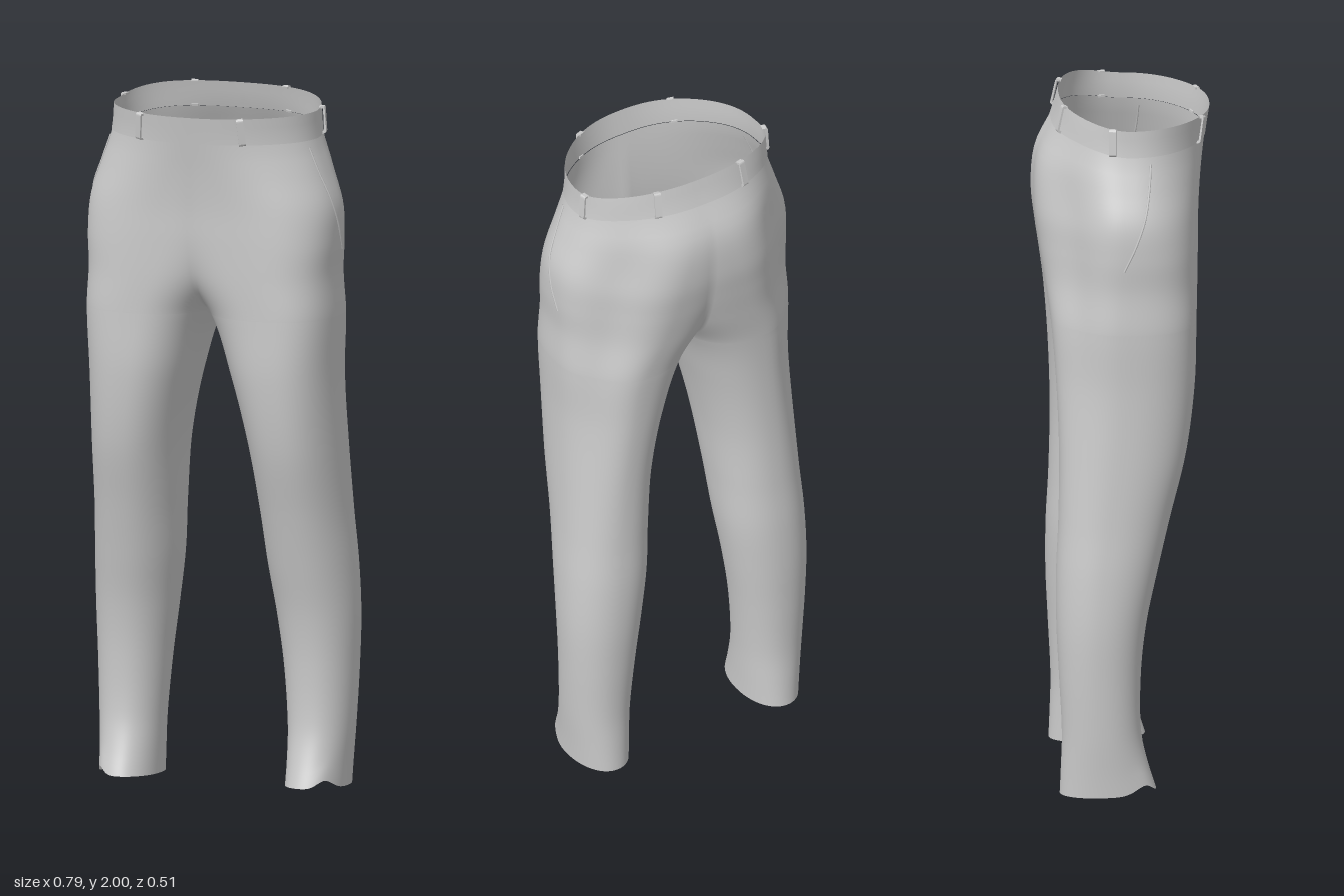
import * as THREE from 'three';
import { mergeVertices } from 'three/addons/utils/BufferGeometryUtils.js';

const { smoothstep, clamp } = THREE.MathUtils;
const CROTCH = 1.38;
const BAND = 1.89;

// Stations of one half: y, outer x, inner x, front z, back z, z of widest point, roundness power.
// Above the crotch the inner x passes the middle plane, so each section is cut at x = 0.
const STATIONS = [
  [0.0, 0.372, 0.2, 0.086, -0.19, -0.05, 2.1],
  [0.07, 0.376, 0.199, 0.066, -0.187, -0.06, 2.1],
  [0.18, 0.384, 0.195, 0.043, -0.184, -0.07, 2.1],
  [0.35, 0.392, 0.18, 0.042, -0.192, -0.08, 2.1],
  [0.5, 0.396, 0.16, 0.058, -0.199, -0.08, 2.1],
  [0.65, 0.391, 0.14, 0.09, -0.199, -0.07, 2.15],
  [0.8, 0.381, 0.129, 0.125, -0.192, -0.05, 2.2],
  [1.0, 0.374, 0.108, 0.174, -0.189, -0.02, 2.25],
  [1.2, 0.371, 0.063, 0.2, -0.196, 0.0, 2.3],
  [CROTCH, 0.376, 0.0, 0.206, -0.21, 0.0, 2.4],
  [1.5, 0.371, -0.1, 0.211, -0.226, 0.005, 2.4],
  [1.6, 0.376, -0.17, 0.214, -0.241, 0.01, 2.4],
  [1.7, 0.371, -0.21, 0.217, -0.252, 0.01, 2.35],
  [1.8, 0.338, -0.245, 0.226, -0.243, 0.01, 2.3],
  [BAND, 0.308, -0.29, 0.239, -0.198, 0.005, 2.3],
  [1.97, 0.301, -0.301, 0.252, -0.175, 0.0, 2.3],
];

// Smooth interpolation of the stations
function station(y) {
  const S = STATIONS;
  let i = 0;
  while (i < S.length - 2 && y > S[i + 1][0]) i++;
  const h = S[i + 1][0] - S[i][0];
  const t = clamp((y - S[i][0]) / h, 0, 1);
  const slope = (k, c) => {
    const a = S[Math.max(k - 1, 0)], b = S[Math.min(k + 1, S.length - 1)];
    return (b[c] - a[c]) / (b[0] - a[0]);
  };
  return S[i].map((v, c) => {
    const t2 = t * t, t3 = t2 * t;
    return (2 * t3 - 3 * t2 + 1) * v + (t3 - 2 * t2 + t) * h * slope(i, c)
      + (3 * t2 - 2 * t3) * S[i + 1][c] + (t3 - t2) * h * slope(i + 1, c);
  });
}

const power = (v, p) => Math.sign(v) * Math.abs(v) ** p;

// Flattening of the outer corners: the hips taper to the back, the thighs fill out in front
const flatFront = (y) => 0.08 * smoothstep(y, 1.5, 1.92) - 0.04 * smoothstep(y, 1, 1.45);
const flatBack = (y) => 0.15 * smoothstep(y, 0.75, 1.6) * (1 - smoothstep(y, 1.7, 1.95));

// Waist rises to the back; hem has a small fold at its outer front corner
function lift(y, z, a) {
  const top = smoothstep(y, 1.65, BAND);
  const hem = 1 - smoothstep(y, 0, 0.12);
  return top * 0.033 * smoothstep(-z, -0.02, 0.19)
    + hem * (0.005 * (1 + Math.cos(a)) + 0.024 * Math.exp(-(((a - 0.75) / 0.35) ** 2)));
}

// Surface point at height y and angle a (0 front, PI/2 outside, PI back)
function pointAt(y, a, out = 0) {
  const [, xo, xi, zf, zb, zc, n] = station(y);
  const s = Math.sin(a), c = Math.cos(a);
  const flat = c > 0 ? flatFront(y) : flatBack(y);
  const k = s > 0 ? 1 - flat * Math.sin(2 * a) ** 2 : 1;
  const x = (xo + xi) / 2 + k * ((xo - xi) / 2 + out) * power(s, 2 / n);
  const z = zc + k * ((c > 0 ? zf - zc : zc - zb) + out) * power(c, 2 / n);
  return new THREE.Vector3(x, y + lift(y, z, a), z);
}

// Angle past front and back at which the section meets the middle plane
function overrun(y, out) {
  const [, xo, xi, , , , n] = station(y);
  const r = (xo + xi) / (xo - xi + 2 * out);
  if (y <= CROTCH + 1e-6 || r >= 1) return Math.PI / 2;
  return Math.asin(Math.max(r, 0) ** (n / 2));
}

// Loft both mirrored halves through rows of heights, at an outward offset
function loft(rows, N, out = 0) {
  const pos = [], idx = [];
  for (const side of [1, -1]) {
    const base = pos.length / 3;
    rows.forEach((y, j) => {
      const a0 = overrun(y, out);
      for (let i = 0; i <= N; i++) {
        const p = pointAt(y, -a0 + (Math.PI + 2 * a0) * i / N, out);
        const cut = y >= CROTCH - 1e-6 && (i === 0 || i === N);
        pos.push(cut ? 0 : side * Math.max(p.x, 0), p.y, p.z);
        if (j === 0 || i === 0) continue;
        const d = base + j * (N + 1) + i, c = d - 1, b = d - N - 1, a = b - 1;
        if (side > 0) idx.push(a, b, d, a, d, c);
        else idx.push(a, d, b, a, c, d);
      }
    });
  }
  const g = new THREE.BufferGeometry();
  g.setAttribute('position', new THREE.Float32BufferAttribute(pos, 3));
  g.setIndex(idx);
  const merged = mergeVertices(g, 1e-5);
  merged.computeVertexNormals();
  return merged;
}

export function createModel() {
  const model = new THREE.Group();
  model.name = 'trousers';
  const cloth = new THREE.MeshStandardMaterial({ color: 0xcccccc, roughness: 0.9, side: THREE.DoubleSide });
  const add = (name, geometry) => {
    const mesh = new THREE.Mesh(geometry, cloth);
    mesh.name = name;
    model.add(mesh);
    return mesh;
  };

  // Legs and seat in one sheet, with rows packed closer just above the crotch
  const rows = [];
  for (let i = 0; i <= 56; i++) rows.push(CROTCH * i / 56);
  for (let i = 1; i <= 36; i++) rows.push(CROTCH + (BAND - CROTCH) * (i / 36) ** 1.8);
  add('legsAndSeat', loft(rows, 72));

  // Waistband: a thin sheet standing just proud of the seat
  add('waistband', loft([BAND, 1.915, 1.94, 1.967], 72, 0.002));

  // Belt loops: narrow bent straps lying along the slope of the band
  const strap = new THREE.Shape();
  strap.moveTo(-0.004, 0.038);
  strap.lineTo(0.008, 0.038);
  strap.quadraticCurveTo(0.012, 0.037, 0.012, 0.03);
  strap.lineTo(0.012, -0.034);
  strap.quadraticCurveTo(0.011, -0.042, -0.002, -0.042);
  strap.lineTo(-0.002, -0.036);
  strap.lineTo(0.006, -0.034);
  strap.lineTo(0.007, 0.031);
  strap.lineTo(-0.004, 0.032);
  const loopGeo = new THREE.ExtrudeGeometry(strap, { depth: 0.02, bevelEnabled: false, curveSegments: 5 });
  loopGeo.translate(0, 0, -0.01);
  const loopAngles = { frontLoop: 0.48, sideLoop: 1.74, backLoop: 2.72 };
  for (const [name, a] of Object.entries(loopAngles)) {
    for (const side of [1, -1]) {
      const at = (y, b) => pointAt(y, b, 0.002).multiply(new THREE.Vector3(side, 1, 1));
      const up = at(1.96, a).sub(at(1.9, a)).normalize();
      const along = at(1.93, a + 0.03).sub(at(1.93, a - 0.03)).multiplyScalar(side);
      const outward = along.cross(up).normalize();
      const across = new THREE.Vector3().crossVectors(outward, up);
      const loop = add(name + (side > 0 ? 'Left' : 'Right'), loopGeo);
      loop.setRotationFromMatrix(new THREE.Matrix4().makeBasis(outward, up, across));
      loop.position.copy(at(1.93, a));
    }
  }

  // Slanted side pockets: a raised lip curving down and back
  const slit = [
    [1.87, 0.07], [1.8, 0.064], [1.72, 0.05], [1.64, 0.022], [1.57, -0.01],
  ].map(([y, z]) => {
    const [, , , zf, zb, zc, n] = station(y);
    const r = (z - zc) / (z > zc ? zf - zc : zc - zb);
    return pointAt(y, Math.acos(power(r, n / 2)), 0.001);
  });
  for (const side of [1, -1]) {
    const path = new THREE.CatmullRomCurve3(slit.map((p) => new THREE.Vector3(side * p.x, p.y, p.z)));
    add(side > 0 ? 'pocketLeft' : 'pocketRight', new THREE.TubeGeometry(path, 32, 0.003, 6));
  }
  return model;
}
